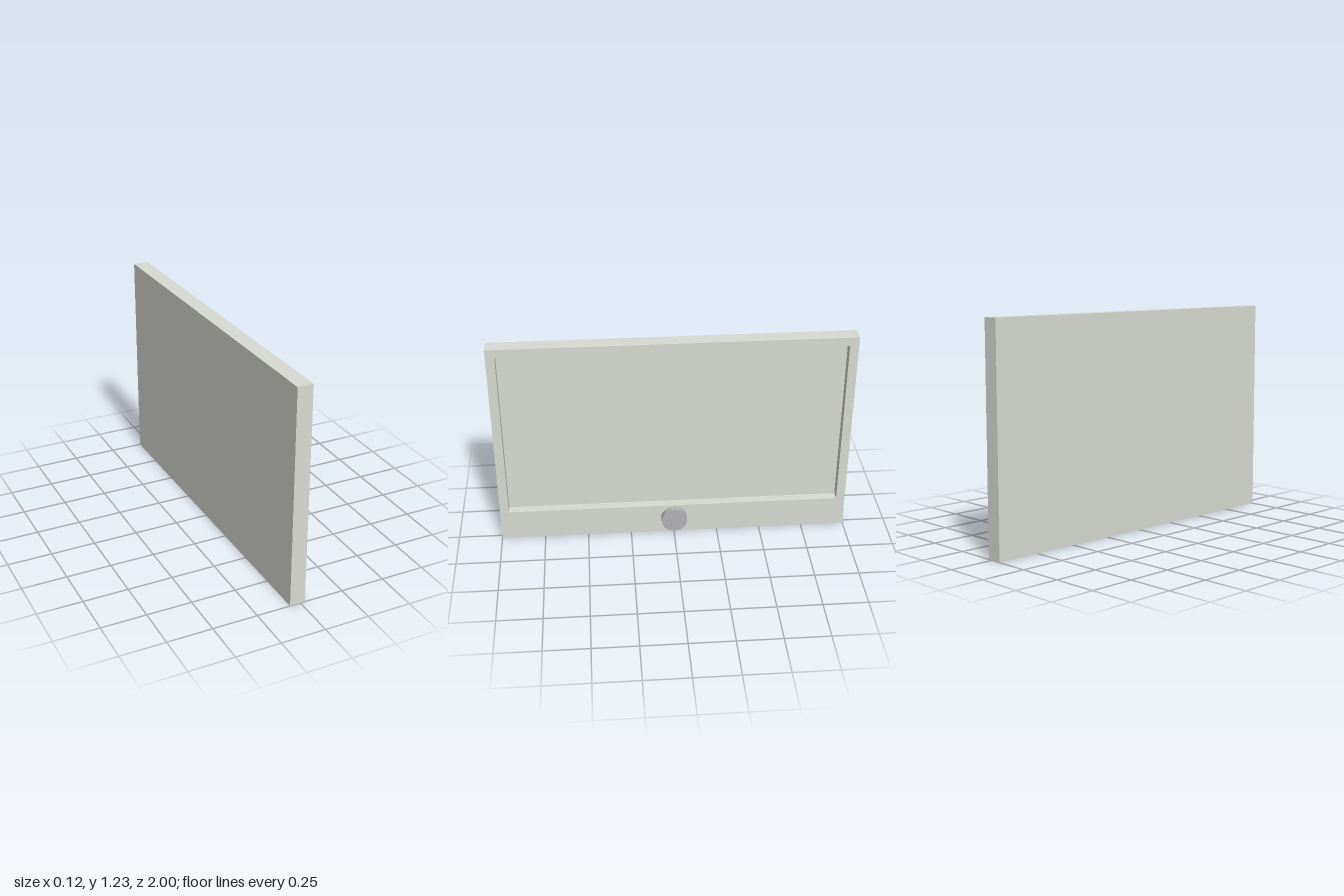
import * as THREE from 'three';

const BACK = -0.061, FACE = 0.026, TIP = 0.061; // depth positions along x
const RECESS = 0.052, HEIGHT = 1.23;

// Rectangle outline as a list of points
function rect(w, y0, y1) {
  return [[-w, y0], [w, y0], [w, y1], [-w, y1]].map(([x, y]) => new THREE.Vector2(x, y));
}

export function createModel() {
  const model = new THREE.Group();
  const shell = new THREE.MeshStandardMaterial({ color: 0xd8dbd3 });
  const metal = new THREE.MeshStandardMaterial({ color: 0xb2b2b4 });

  function add(name, geometry, material, x, y) {
    const mesh = new THREE.Mesh(geometry, material);
    mesh.name = name;
    mesh.position.set(x, y, 0);
    model.add(mesh);
  }

  // Bezel around the screen opening, extruded toward +x
  const outline = new THREE.Shape(rect(1, 0, HEIGHT));
  outline.holes.push(new THREE.Path(rect(0.95, 0.18, 1.18)));
  const bezel = new THREE.ExtrudeGeometry(outline, { depth: RECESS, bevelEnabled: false });
  bezel.rotateY(Math.PI / 2);
  add('bezel', bezel, shell, FACE - RECESS, 0);

  // Solid back panel, whose front forms the floor of the recess
  const panelDepth = FACE - RECESS - BACK;
  add('backPanel', new THREE.BoxGeometry(panelDepth, HEIGHT, 2), shell, BACK + panelDepth / 2, HEIGHT / 2);

  // Round button below the screen
  const button = new THREE.CylinderGeometry(0.0735, 0.0735, TIP - FACE, 48);
  button.rotateZ(-Math.PI / 2);
  add('button', button, metal, (FACE + TIP) / 2, 0.0965);

  return model;
}
